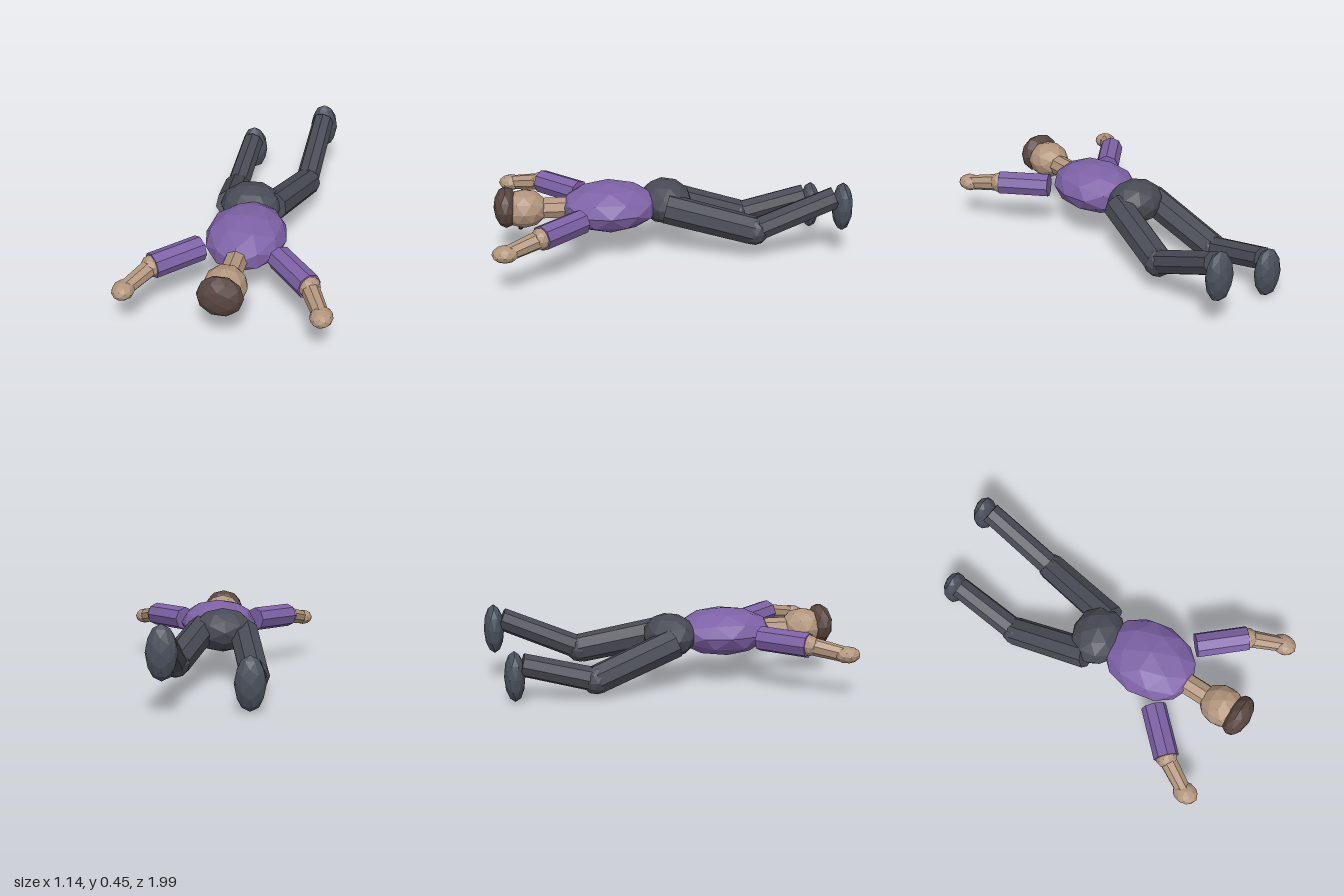
import * as THREE from 'three';

const flat = (name, color) => {
  const m = new THREE.MeshStandardMaterial({ color, flatShading: true });
  m.name = name;
  return m;
};

export function createModel() {
  const group = new THREE.Group();
  const shirt = flat('purple shirt', 0x7d62a6);
  const skin = flat('skin', 0xb2957c);
  const hair = flat('dark brown hair', 0x584640);
  const trousers = flat('dark grey trousers', 0x484b54);
  const shoes = flat('slate shoes', 0x4a505c);
  const eye = flat('dark eyes', 0x2a2422);

  // Faceted ellipsoid at a centre with three radii
  const ball = (name, mat, at, radii) => {
    const mesh = new THREE.Mesh(new THREE.IcosahedronGeometry(1, 1), mat);
    mesh.name = name;
    mesh.position.set(...at);
    mesh.scale.set(...radii);
    group.add(mesh);
    return mesh;
  };

  // Eight-sided limb between two points
  const limb = (name, mat, from, to, r0, r1) => {
    const a = new THREE.Vector3(...from), b = new THREE.Vector3(...to);
    const dir = b.clone().sub(a);
    const mesh = new THREE.Mesh(new THREE.CylinderGeometry(r1, r0, dir.length(), 8), mat);
    mesh.name = name;
    mesh.position.copy(a).add(b).multiplyScalar(0.5);
    mesh.quaternion.setFromUnitVectors(new THREE.Vector3(0, 1, 0), dir.normalize());
    group.add(mesh);
  };

  // Body, lying face down with the head toward +z
  ball('torso', shirt, [0, 0.285, 0.345], [0.222, 0.135, 0.28]);
  ball('pelvis', trousers, [-0.045, 0.285, 0.025], [0.175, 0.125, 0.15]).rotation.y = 0.15;
  limb('neck', skin, [0, 0.285, 0.55], [0, 0.285, 0.75], 0.062, 0.062);

  // Head
  ball('head', skin, [0, 0.288, 0.82], [0.117, 0.108, 0.13]);
  ball('hair', hair, [0, 0.3, 0.922], [0.124, 0.116, 0.07]);
  for (const s of [1, -1]) ball('eye', eye, [s * 0.04, 0.19, 0.845], [0.014, 0.012, 0.014]);

  // Arms
  for (const s of [1, -1]) {
    const elbow = [s * 0.415, 0.285, 0.725];
    const wrist = [s * 0.505, 0.25, 0.895];
    limb('upperArm', shirt, [s * 0.215, 0.285, 0.51], elbow, 0.07, 0.07);
    ball('elbow', skin, elbow, [0.06, 0.06, 0.06]);
    limb('forearm', skin, elbow, wrist, 0.05, 0.043);
    ball('hand', skin, [s * 0.512, 0.248, 0.912], [0.06, 0.046, 0.072]);
  }

  // Legs, each in its own kick pose
  const legs = [
    { side: 'left', hip: [0.075, 0.285, 0.03], knee: [0.182, 0.175, -0.455],
      ankle: [0.2, 0.365, -0.9], foot: [0.2, 0.308, -0.943] },
    { side: 'right', hip: [-0.165, 0.27, 0.03], knee: [-0.24, 0.105, -0.42],
      ankle: [-0.232, 0.21, -0.82], foot: [-0.23, 0.145, -0.86] },
  ];
  for (const { side, hip, knee, ankle, foot } of legs) {
    limb(side + 'Thigh', trousers, hip, knee, 0.086, 0.082);
    ball(side + 'Knee', trousers, knee, [0.082, 0.082, 0.082]);
    limb(side + 'Shin', trousers, knee, ankle, 0.068, 0.064);
    ball(side + 'Foot', shoes, foot, [0.082, 0.142, 0.057]);
  }
  return group;
}
